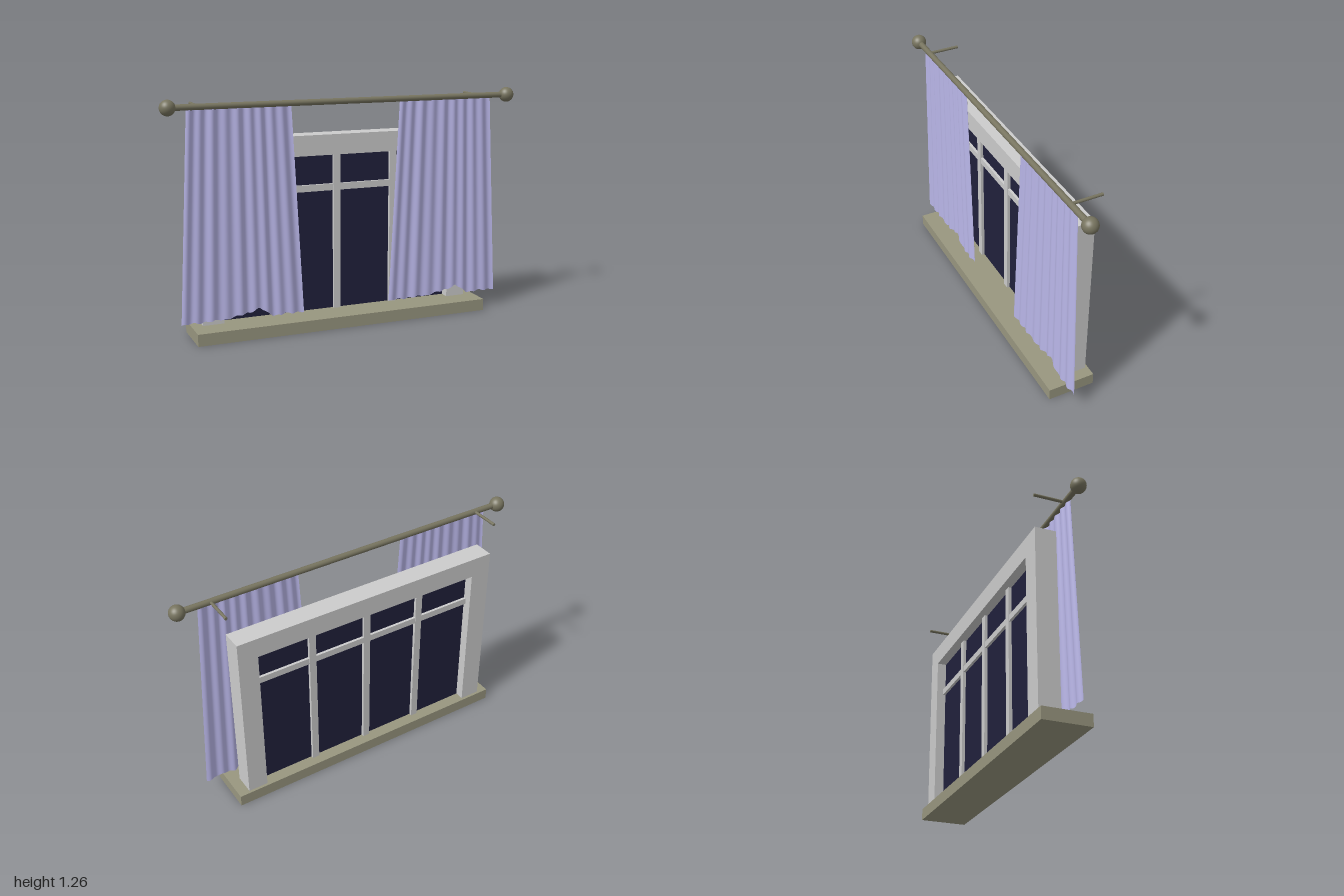
import * as THREE from 'three';

const paint = (color) => new THREE.MeshStandardMaterial({ color });

export function createModel() {
  const root = new THREE.Group();
  const grey = paint(0xcccccc);
  const stone = paint(0x98967f);
  const metal = paint(0x77745f);
  const glass = paint(0x20203c);
  const cloth = paint(0xb9b6e8);
  cloth.side = THREE.DoubleSide;

  const add = (name, geometry, material, x = 0, y = 0, z = 0, parent = root) => {
    const mesh = new THREE.Mesh(geometry, material);
    mesh.name = name;
    mesh.position.set(x, y, z);
    parent.add(mesh);
    return mesh;
  };
  const box = (name, material, x0, x1, y0, y1, z0, z1) =>
    add(name, new THREE.BoxGeometry(x1 - x0, y1 - y0, z1 - z0), material,
      (x0 + x1) / 2, (y0 + y1) / 2, (z0 + z1) / 2);

  // Sill
  const sillTop = 0.065;
  box('sill', stone, -0.86, 0.805, 0, sillTop, -0.13, 0.13);

  // Window frame: two posts and a head, open at the sill
  const outline = [[-0.8, sillTop], [-0.685, sillTop], [-0.685, 0.93], [0.635, 0.93],
    [0.635, sillTop], [0.745, sillTop], [0.745, 1.04], [-0.8, 1.04]];
  const frameShape = new THREE.Shape(outline.map(([x, y]) => new THREE.Vector2(x, y)));
  add('windowFrame', new THREE.ExtrudeGeometry(frameShape, { depth: 0.115, bevelEnabled: false }),
    grey, 0, 0, -0.115);

  // Glass pane with glazing bars on both faces
  const paneZ = -0.058;
  box('glassPane', glass, -0.685, 0.635, sillTop, 0.93, paneZ - 0.005, paneZ + 0.005);
  for (const x of [-0.36, -0.027, 0.306]) {
    box('mullion', grey, x - 0.02, x + 0.02, sillTop, 0.93, paneZ - 0.022, paneZ + 0.022);
  }
  box('transom', grey, -0.685, 0.635, 0.73, 0.766, paneZ - 0.02, paneZ + 0.02);

  // Curtain rod, finials and wall brackets
  const rodY = 1.22, rodZ = 0.05;
  add('curtainRod', new THREE.CylinderGeometry(0.016, 0.016, 1.9, 24), metal, 0, rodY, rodZ)
    .rotation.z = Math.PI / 2;
  for (const x of [-0.96, 0.96]) {
    add('finial', new THREE.SphereGeometry(0.041, 32, 20), metal, x, rodY, rodZ);
  }
  for (const x of [-0.805, 0.787]) {
    add('rodBracket', new THREE.CylinderGeometry(0.008, 0.008, 0.17, 16), metal, x, rodY + 0.002, -0.035)
      .rotation.x = Math.PI / 2;
  }

  // Curtains: pleated sheets that flare downward to an uneven hem
  const hem = [[0, 0.097], [0.08, 0.102], [0.16, 0.096], [0.26, 0.105], [0.36, 0.1], [0.47, 0.117],
    [0.55, 0.122], [0.63, 0.145], [0.69, 0.115], [0.75, 0.088], [0.84, 0.098], [0.93, 0.094], [1, 0.092]];
  const hemHeight = (u) => {
    const i = Math.max(1, hem.findIndex(([t]) => t >= u));
    const [[u0, y0], [u1, y1]] = [hem[i - 1], hem[i]];
    return THREE.MathUtils.lerp(y0, y1, (u - u0) / (u1 - u0));
  };
  const curtainGeometry = () => {
    const geometry = new THREE.PlaneGeometry(1, 1, 120, 24);
    const p = geometry.attributes.position;
    for (let i = 0; i < p.count; i++) {
      const u = THREE.MathUtils.clamp(p.getX(i) + 0.5, 0, 1);
      const down = THREE.MathUtils.clamp(0.5 - p.getY(i), 0, 1);
      const left = THREE.MathUtils.lerp(-0.275, -0.332, down);
      const right = THREE.MathUtils.lerp(0.278, 0.338, down);
      const y = THREE.MathUtils.lerp(1.21, hemHeight(u) + 0.003 * Math.sin(u * 75), down);
      const fold = 0.005 * Math.sin(u * Math.PI * 18 + 0.6 * Math.sin(u * 9)) + 0.002 * Math.sin(u * 31);
      p.setXYZ(i, THREE.MathUtils.lerp(left, right, u), y, fold);
    }
    geometry.computeVertexNormals();
    return geometry;
  };
  const sheet = curtainGeometry();
  add('rightCurtain', sheet, cloth, -0.593, 0, rodZ);
  add('leftCurtain', sheet, cloth, 0.577, 0, rodZ);

  return root;
}
